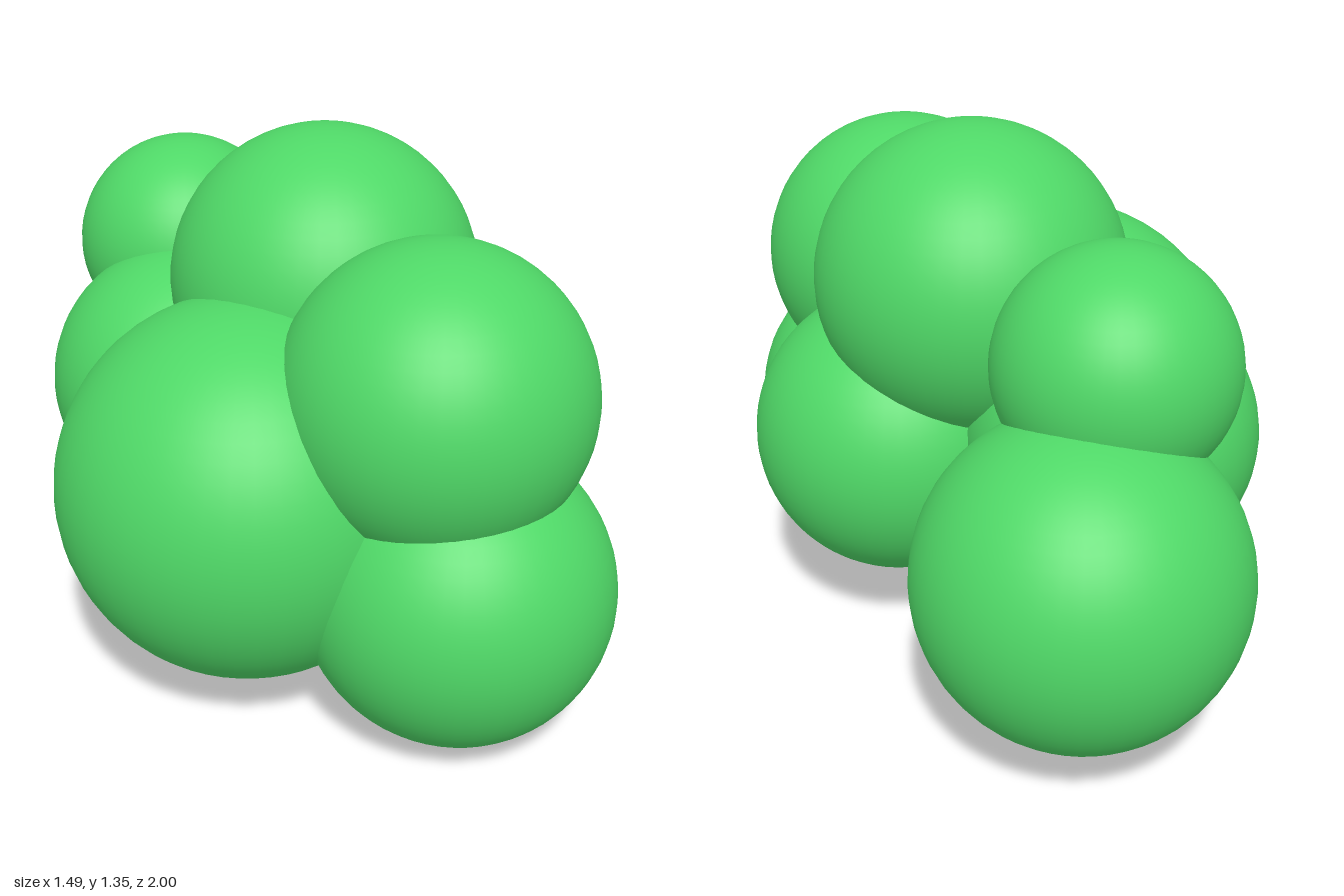
import * as THREE from 'three';

const leafMaterial = new THREE.MeshStandardMaterial({ color: 0x4fd867 });
const barkMaterial = new THREE.MeshStandardMaterial({ color: 0x3a2e24 });

// Ball of foliage
function leafBall(name, [x, y, z], radius) {
  const ball = new THREE.Mesh(new THREE.SphereGeometry(radius, 48, 32), leafMaterial);
  ball.position.set(x, y, z);
  ball.name = name;
  return ball;
}

// Round stem running from its foot to a point inside the foliage
function stem(name, foot, top, radius = 0.042) {
  const a = new THREE.Vector3(...foot);
  const b = new THREE.Vector3(...top);
  const axis = b.clone().sub(a);
  const mesh = new THREE.Mesh(new THREE.CylinderGeometry(radius, radius, axis.length(), 12), barkMaterial);
  mesh.position.copy(a).add(b).multiplyScalar(0.5);
  mesh.quaternion.setFromUnitVectors(new THREE.Vector3(0, 1, 0), axis.normalize());
  mesh.name = name;
  return mesh;
}

export function createModel() {
  const bush = new THREE.Group();
  bush.name = 'bush';

  // Foliage
  const foliage = new THREE.Group();
  foliage.name = 'foliage';
  foliage.add(
    leafBall('frontLowerFoliage', [-0.095, 0.38, 0.62], 0.38),
    leafBall('frontUpperFoliage', [-0.085, 0.845, 0.53], 0.375),
    leafBall('rightFoliage', [-0.27, 0.545, 0.11], 0.475),
    leafBall('topFoliage', [0.105, 0.96, 0.035], 0.39),
    leafBall('leftFoliage', [0.23, 0.53, 0.185], 0.37),
    leafBall('backLeftFoliage', [0.35, 0.49, -0.605], 0.39),
    leafBall('backUpperFoliage', [0.158, 0.918, -0.51], 0.287),
    leafBall('backRightFoliage', [-0.03, 0.62, -0.32], 0.365),
  );

  // Stems
  const stems = new THREE.Group();
  stems.name = 'stems';
  stems.add(
    stem('frontStem', [0.085, 0.05, 0.5], [-0.095, 0.385, 0.6]),
    stem('leftStem', [0.18, 0.04, 0], [0.23, 0.45, 0.185]),
    stem('middleStem', [0, 0.04, 0], [-0.12, 0.6, -0.33]),
    stem('backStem', [0.23, 0.035, -0.43], [0.13, 0.45, -0.62]),
  );

  bush.add(foliage, stems);
  return bush;
}
